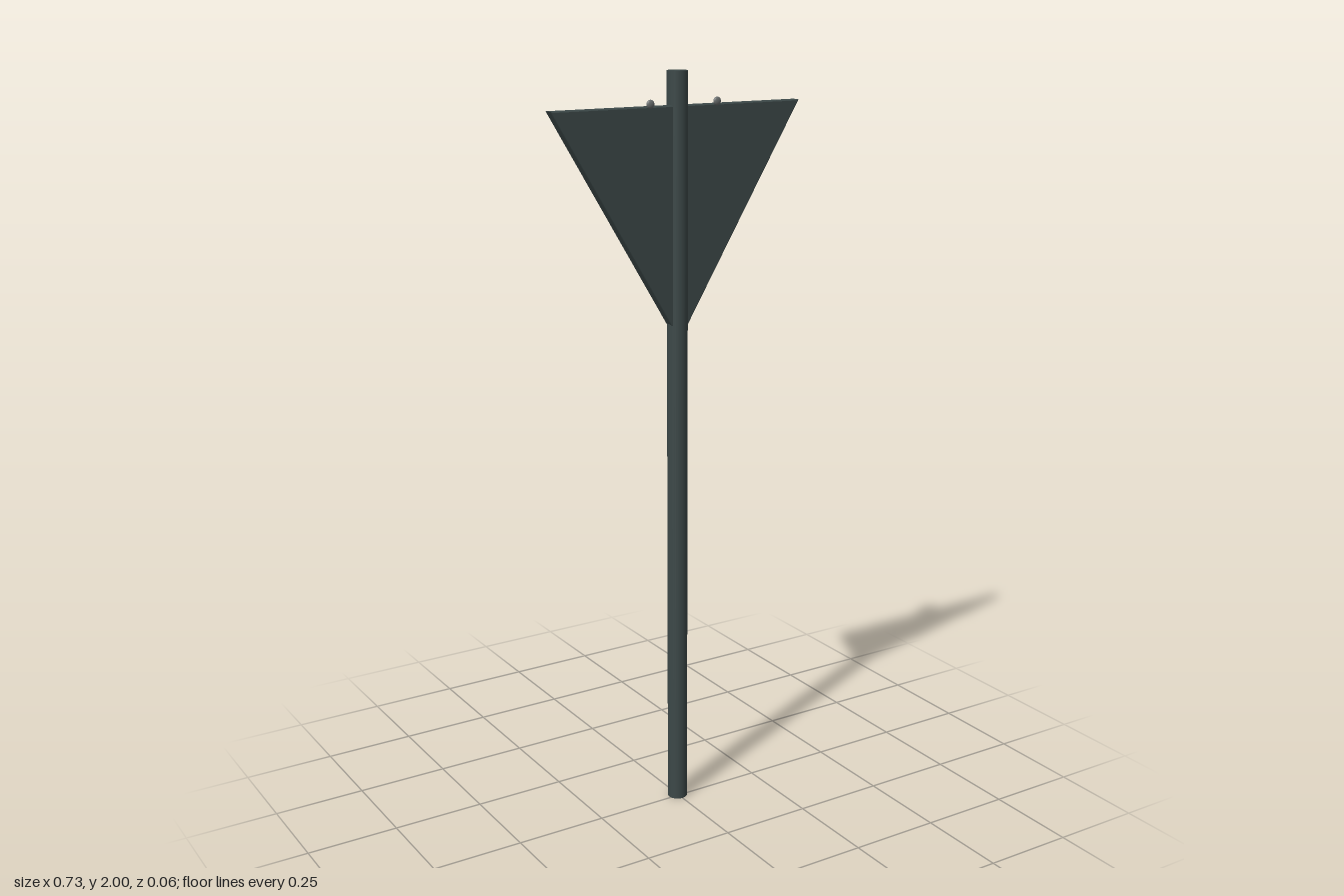
import * as THREE from 'three';

export function createModel() {
  const group = new THREE.Group();
  const slate = new THREE.MeshStandardMaterial({ name: 'darkSlate', color: 0x3c4848 });
  const grey = new THREE.MeshStandardMaterial({ name: 'studGrey', color: 0x6a6e6e });
  const midZ = -0.007;

  const add = (name, geometry, material, x, y, z) => {
    const mesh = new THREE.Mesh(geometry, material);
    mesh.name = name;
    mesh.position.set(x, y, z);
    group.add(mesh);
    return mesh;
  };

  // Straight round pole
  add('pole', new THREE.CylinderGeometry(0.027, 0.027, 2, 32), slate, 0, 1, midZ);

  // Triangular blade, point down, with a fine bevel around its rim
  const outline = new THREE.Shape();
  outline.moveTo(-0.365, 1.915);
  outline.lineTo(0, 1.316);
  outline.lineTo(0.365, 1.915);
  outline.closePath();
  const bevel = 0.004, thickness = 0.03;
  const blade = new THREE.ExtrudeGeometry(outline, {
    depth: thickness - 2 * bevel, bevelThickness: bevel,
    bevelSize: bevel, bevelOffset: -bevel, bevelSegments: 2,
  });
  blade.translate(0, 0, -thickness / 2 + bevel);
  add('blade', blade, slate, 0, 0, midZ);

  // Small flattened studs above the blade's front edge
  for (const [name, side] of [['leftStud', 1], ['rightStud', -1]]) {
    const stud = add(name, new THREE.SphereGeometry(0.011, 20, 14), grey, side * 0.098, 1.923, 0.025);
    stud.scale.z = 0.5;
  }
  return group;
}
